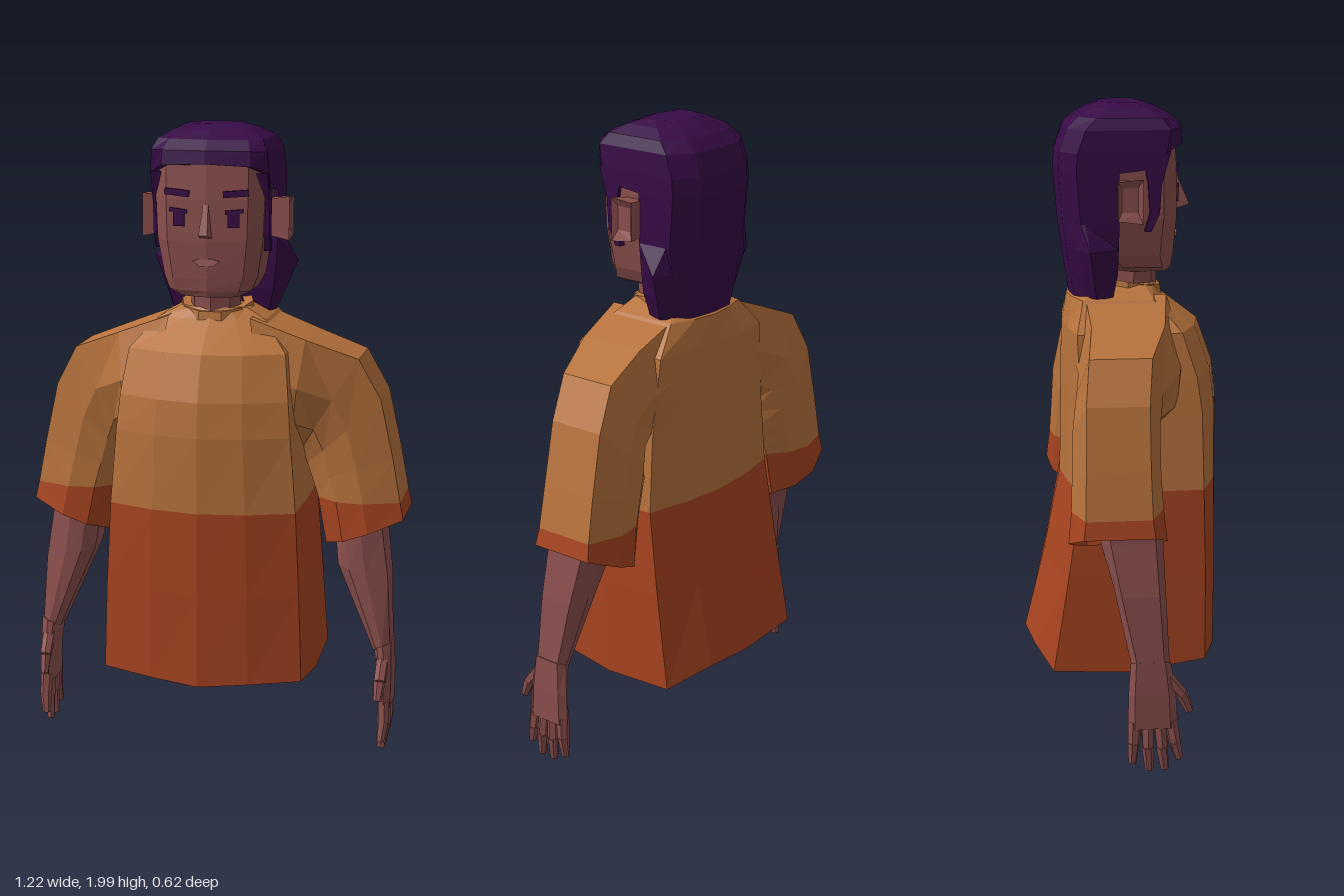
import * as THREE from 'three';

const mat = (name, color, side = THREE.FrontSide) =>
  Object.assign(new THREE.MeshStandardMaterial({ color, side, flatShading: true }), { name });

// Skin through rings of [x, y, z] points; faces always turned outwards.
function loft(rings, capStart = true, capEnd = true) {
  const tris = [], n = rings[0].length;
  const mean = (pts) => [0, 1, 2].map((k) => pts.reduce((s, p) => s + p[k], 0) / pts.length);
  for (let r = 0; r < rings.length - 1; r++) {
    for (let i = 0; i < n; i++) {
      const j = (i + 1) % n, a = rings[r], b = rings[r + 1];
      tris.push([a[i], a[j], b[j]], [a[i], b[j], b[i]]);
    }
  }
  const cap = (ring, flip) => {
    const c = mean(ring);
    ring.forEach((p, i) => {
      const q = ring[(i + 1) % n];
      tris.push(flip ? [c, q, p] : [c, p, q]);
    });
  };
  if (capStart) cap(rings[0], true);
  if (capEnd) cap(rings[rings.length - 1], false);
  const o = new THREE.Vector3(...mean(rings.flat()));
  let volume = 0;
  for (const t of tris) {
    const [a, b, c] = t.map((p) => new THREE.Vector3(...p).sub(o));
    volume += a.dot(b.cross(c));
  }
  if (volume < 0) tris.forEach((t) => t.reverse());
  const g = new THREE.BufferGeometry();
  g.setAttribute('position', new THREE.Float32BufferAttribute(tris.flat(2), 3));
  g.computeVertexNormals();
  return g;
}

// Mirror a half outline of [x, y, z], running from centre front to centre back.
const mirrorRing = (half) => [
  ...half,
  ...half.slice(1, -1).reverse().map(([x, y, z]) => [-x, y, z]),
];

// Shirt cross-section: width, centre/corner depth in front, corner/centre depth behind
const bodyRing = ([y, w, f, fc, bc, b]) => mirrorRing([
  [0, y, f], [w * 0.5, y, f - (f - fc) * 0.3], [w, y, fc], [w * 1.01, y, (fc + bc) / 2],
  [w, y, bc], [w * 0.5, y, b + (bc - b) * 0.3], [0, y, b],
]);

// Head and hair cross-section
const headRing = ([y, w, f, b, side = 0.06, lift = 0]) => mirrorRing([
  [0, y + lift, f], [w * 0.75, y + lift * 0.8, f - 0.015], [w, y, f - side],
  [w, y, b + 0.06], [w * 0.6, y, b + 0.01], [0, y, b],
]);

// Limb cross-section spanned by an outer and an inner point
const limbRing = (s) => ([xo, yo, xi, yi, f, b]) =>
  [[1, 0.68], [0.15, 1], [-0.5, 0.95], [-1, 0.55], [-1, -0.55], [-0.5, -0.9], [0.15, -1], [1, -0.75]]
    .map(([u, v]) => [
      s * (xi + (xo - xi) * (u + 1) / 2),
      yi + (yo - yi) * (u + 1) / 2,
      (f + b) / 2 + v * (f - b) / 2,
    ]);

// Tapered rod between two points
function rod(a, b, r1, r2, sides = 6) {
  const A = new THREE.Vector3(...a), d = new THREE.Vector3(...b).sub(A);
  const g = new THREE.CylinderGeometry(r2, r1, d.length(), sides);
  g.applyQuaternion(new THREE.Quaternion().setFromUnitVectors(
    new THREE.Vector3(0, 1, 0), d.clone().normalize()));
  return g.translate(...A.addScaledVector(d, 0.5).toArray());
}

export function createModel() {
  const orange = mat('shirtOrange', 0xb8733d, THREE.DoubleSide);
  const rust = mat('shirtRust', 0xa84420, THREE.DoubleSide);
  const skin = mat('skin', 0x8c504e);
  const hair = mat('hairPurple', 0x370b46);
  const lip = mat('lip', 0x9c605d);

  const model = new THREE.Group();
  model.name = 'person';
  const add = (name, geometry, material) => {
    const m = new THREE.Mesh(geometry, material);
    m.name = name;
    model.add(m);
    return m;
  };
  const plate = (name, size, pos, rot) => {
    const m = add(name, new THREE.BoxGeometry(...size), hair);
    m.position.set(...pos);
    m.rotation.set(...rot);
  };

  // Shirt body, split at the colour line, with a hem dipping at the sides
  const split = bodyRing([0.82, 0.298, 0.31, 0.235, -0.15, -0.195]);
  const hemHalf = [[0, 0.25, 0.312], [0.16, 0.262, 0.288], [0.322, 0.27, 0.24], [0.328, 0.235, 0],
    [0.325, 0.245, -0.24], [0.16, 0.28, -0.29], [0, 0.287, -0.312]];
  add('shirtLower', loft([
    mirrorRing(hemHalf), bodyRing([0.55, 0.312, 0.312, 0.24, -0.19, -0.248]), split,
  ], false, false), rust);
  add('shirtUpper', loft([
    split,
    ...[
      [1.06, 0.278, 0.31, 0.23, -0.145, -0.19],
      [1.17, 0.268, 0.297, 0.215, -0.15, -0.19],
      [1.31, 0.25, 0.247, 0.17, -0.155, -0.185],
      [1.4, 0.17, 0.13, 0.09, -0.13, -0.17],
      [1.435, 0.105, 0.11, 0.07, -0.08, -0.13],
    ].map(bodyRing),
  ], false, true), orange);
  add('waist', loft([
    [0.42, 0.25, 0.23, 0.17, -0.14, -0.19], [0.8, 0.23, 0.22, 0.16, -0.1, -0.14],
  ].map(bodyRing)), skin);

  // Collar, higher at the back
  const collarRing = (r, dy) => Array.from({ length: 10 }, (_, i) => {
    const a = (i + 0.5) * Math.PI / 5, z = Math.cos(a) * r + 0.015;
    return [Math.sin(a) * r, 1.425 - z * 0.2 + dy, z];
  });
  add('collar', loft([collarRing(0.122, -0.02), collarRing(0.115, 0.025), collarRing(0.085, 0.02)],
    false, false), orange);

  for (const s of [1, -1]) {
    const side = s > 0 ? 'left' : 'right';
    const ring = limbRing(s);

    // Sleeve, blending from the chest over the shoulder
    const cut = ring([0.598, 0.82, 0.332, 0.82, 0.085, -0.195]);
    add(side + 'SleeveUpper', loft([
      ...[
        [0.13, 1.41, 0.2, 1.0, 0.19, -0.165],
        [0.3, 1.345, 0.26, 1.0, 0.16, -0.155],
        [0.46, 1.28, 0.28, 0.98, 0.095, -0.17],
        [0.53, 1.15, 0.295, 0.93, 0.08, -0.185],
        [0.572, 0.96, 0.312, 0.88, 0.08, -0.19],
      ].map(ring),
      cut,
    ], false, false), orange);
    add(side + 'SleeveHem', loft([cut, ring([0.61, 0.765, 0.36, 0.67, 0.095, -0.205])],
      false, false), rust);

    // Arm and palm
    add(side + 'Arm', loft([
      [0.53, 0.98, 0.37, 0.98, 0.06, -0.13],
      [0.545, 0.73, 0.395, 0.69, 0.085, -0.105],
      [0.568, 0.57, 0.405, 0.61, 0.09, -0.07],
      [0.58, 0.36, 0.525, 0.335, 0.097, -0.02],
    ].map(ring)), skin);
    add(side + 'Palm', loft([
      [0.584, 0.365, 0.528, 0.345, 0.1, -0.023],
      [0.588, 0.26, 0.542, 0.26, 0.115, -0.03],
      [0.587, 0.15, 0.544, 0.15, 0.122, -0.032],
    ].map(ring)), skin);

    // Fingers and thumb, two joints each
    const fingers = [
      [[0.566, 0.17, 0.1], [0.568, 0.1, 0.112], [0.562, 0.042, 0.127]],
      [[0.566, 0.17, 0.065], [0.568, 0.085, 0.073], [0.56, 0.008, 0.084]],
      [[0.566, 0.17, 0.028], [0.568, 0.085, 0.03], [0.56, 0.008, 0.035]],
      [[0.566, 0.17, -0.01], [0.568, 0.1, -0.013], [0.562, 0.033, -0.017]],
      [[0.56, 0.31, 0.085], [0.558, 0.25, 0.135], [0.555, 0.193, 0.16]],
    ];
    fingers.forEach((path, i) => {
      const [a, b, c] = path.map(([x, y, z]) => [s * x, y, z]);
      const name = side + (i === 4 ? 'Thumb' : 'Finger' + (i + 1));
      add(name + 'Base', rod(a, b, 0.021, 0.019), skin);
      add(name + 'Tip', rod(b, c, 0.019, 0.013), skin);
    });

    // Ear
    add(side + 'Ear', loft([
      [[0.16, 1.66, 0.04], [0.16, 1.77, 0.04], [0.16, 1.77, -0.02], [0.16, 1.66, -0.02]],
      [[0.235, 1.645, 0.05], [0.235, 1.782, 0.05], [0.235, 1.775, -0.028], [0.235, 1.655, -0.028]],
      [[0.222, 1.68, 0.035], [0.222, 1.755, 0.035], [0.222, 1.755, -0.015], [0.222, 1.68, -0.015]],
    ].map((r) => r.map(([x, y, z]) => [s * x, y, z]))), skin);

    // Eye, lash and brow
    plate(side + 'Eye', [0.036, 0.05, 0.008], [s * 0.086, 1.722, 0.172], [0, s * 0.11, 0]);
    plate(side + 'Lash', [0.056, 0.012, 0.008], [s * 0.088, 1.745, 0.173], [0, s * 0.11, s * 0.1]);
    plate(side + 'Brow', [0.078, 0.02, 0.009], [s * 0.092, 1.8, 0.171], [0, s * 0.12, s * 0.08]);

    // Sideburn, hooking backwards at its tip
    add(side + 'Sideburn', loft([
      [1.86, 0.14, 0.05], [1.76, 0.112, 0.07], [1.67, 0.106, 0.076], [1.615, 0.08, 0.06],
    ].map(([y, f, b]) => [[0.15, f], [0.184, f], [0.184, b], [0.15, b]]
      .map(([x, z]) => [s * x, y, z]))), hair);
  }

  // Neck and head
  add('neck', rod([0, 1.38, 0.035], [0, 1.54, 0.04], 0.08, 0.08, 8), skin);
  add('head', loft([
    [1.476, 0.09, 0.16, -0.03, 0.03],
    [1.495, 0.13, 0.166, -0.06, 0.045],
    [1.535, 0.148, 0.171, -0.1],
    [1.65, 0.167, 0.18, -0.14],
    [1.78, 0.172, 0.18, -0.16],
    [1.91, 0.172, 0.172, -0.16],
  ].map(headRing)), skin);
  add('nose', loft([
    [[-0.02, 1.66, 0.17], [0.02, 1.66, 0.17], [0.014, 1.675, 0.22], [-0.014, 1.675, 0.22]],
    [[-0.01, 1.765, 0.17], [0.01, 1.765, 0.17], [0.008, 1.765, 0.182], [-0.008, 1.765, 0.182]],
  ]), skin);
  const mouth = new THREE.Shape([[-0.043, 0.004], [-0.02, 0.011], [0.02, 0.011], [0.043, 0.004],
    [0.022, -0.012], [-0.022, -0.012]].map((p) => new THREE.Vector2(...p)));
  add('mouth', new THREE.ExtrudeGeometry(mouth, { depth: 0.009, bevelEnabled: false }), lip)
    .position.set(0, 1.587, 0.1685);

  // Hair crown with fringe
  add('hairCrown', loft([
    [1.855, 0.187, 0.196, -0.207, 0.07, 0.035],
    [1.925, 0.182, 0.19, -0.182, 0.05, 0.005],
    [1.96, 0.165, 0.155, -0.145, 0.04],
    [1.985, 0.125, 0.105, -0.1, 0.03],
    [2.0, 0.09, 0.06, -0.065, 0.02],
  ].map(headRing)), hair);

  // Long hair behind the ears, flaring to a point at each side
  const fall = ([y, w, f, b, flare = 0]) => mirrorRing([
    [0, y, f], [w, y, f], [w + flare, y, b + 0.075], [w, y, b + 0.06 - flare * 0.3],
    [w * 0.6, y, b + 0.01], [0, y, b],
  ]);
  add('hairBack', loft([
    [1.855, 0.187, 0.13, -0.207],
    [1.81, 0.187, 0.11, -0.21],
    [1.795, 0.187, -0.018, -0.21],
    [1.64, 0.186, -0.018, -0.198],
    [1.56, 0.18, -0.02, -0.187, 0.055],
    [1.48, 0.172, -0.022, -0.175, 0.03],
    [1.405, 0.155, -0.035, -0.163, 0.015],
  ].map(fall)), hair);

  return model;
}
